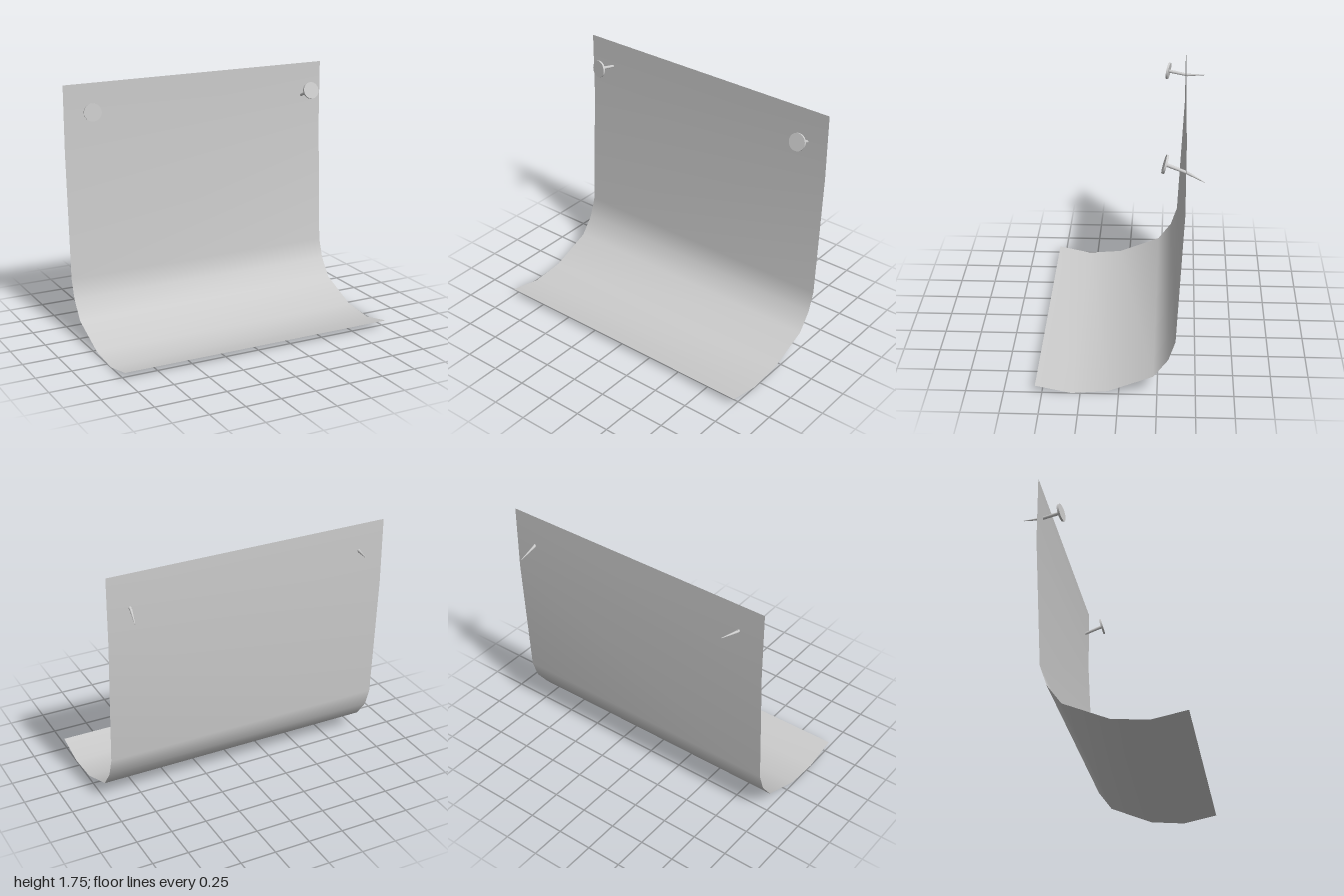
import * as THREE from 'three';

const grey = new THREE.MeshStandardMaterial({ color: 0xcccccc });
const greySheet = new THREE.MeshStandardMaterial({ color: 0xcccccc, side: THREE.DoubleSide });
const UP = new THREE.Vector3(0, 1, 0);

// Sheet cross-section as [z, y], from the top edge down to the curled front edge
const PROFILE = [
  [-0.41, 1.75], [-0.41, 1.29], [-0.365, 0.4], [-0.32, 0.265], [-0.225, 0.138],
  [0.07, 0.02], [0.31, 0], [0.545, 0.05],
];

// Thin curved sheet: a plane whose rows follow the profile
function makeSheet() {
  const geo = new THREE.PlaneGeometry(2, 1, 1, PROFILE.length - 1);
  const pos = geo.attributes.position;
  for (let i = 0; i < pos.count; i++) {
    const [z, y] = PROFILE[Math.floor(i / 2)];
    pos.setXYZ(i, pos.getX(i), y, z);
  }
  geo.computeVertexNormals();
  const sheet = new THREE.Mesh(geo, greySheet);
  sheet.name = 'curvedSheet';
  return sheet;
}

// Round bar from a to b, with radius ra at a and rb at b
function bar(name, a, b, ra, rb, sides) {
  const dir = b.clone().sub(a);
  const mesh = new THREE.Mesh(new THREE.CylinderGeometry(rb, ra, dir.length(), sides), grey);
  mesh.position.copy(a).add(b).multiplyScalar(0.5);
  mesh.quaternion.setFromUnitVectors(UP, dir.normalize());
  mesh.name = name;
  return mesh;
}

// Pin: flat round head, then a slightly bent shaft tapering to a point
function makePin(name, head, bend, tip, facing) {
  const [h, m, t] = [head, bend, tip].map((p) => new THREE.Vector3(...p));
  const n = new THREE.Vector3(...facing).normalize();
  const pin = new THREE.Group();
  pin.name = name;
  pin.add(
    bar('pinHead', h.clone().addScaledVector(n, -0.007), h.clone().addScaledVector(n, 0.007), 0.06, 0.06, 32),
    bar('pinShaft', h, m, 0.012, 0.01, 12),
    bar('pinPoint', m, t, 0.01, 0.002, 12),
  );
  return pin;
}

export function createModel() {
  const model = new THREE.Group();
  model.name = 'pinnedSheet';
  model.add(
    makeSheet(),
    makePin('rightPin', [-0.84, 1.575, -0.285], [-0.815, 1.555, -0.42], [-0.783, 1.568, -0.548], [-0.2, 0.12, 0.97]),
    makePin('leftPin', [0.85, 1.568, -0.282], [0.845, 1.51, -0.42], [0.865, 1.456, -0.528], [0, 0.28, 0.96]),
  );
  return model;
}
